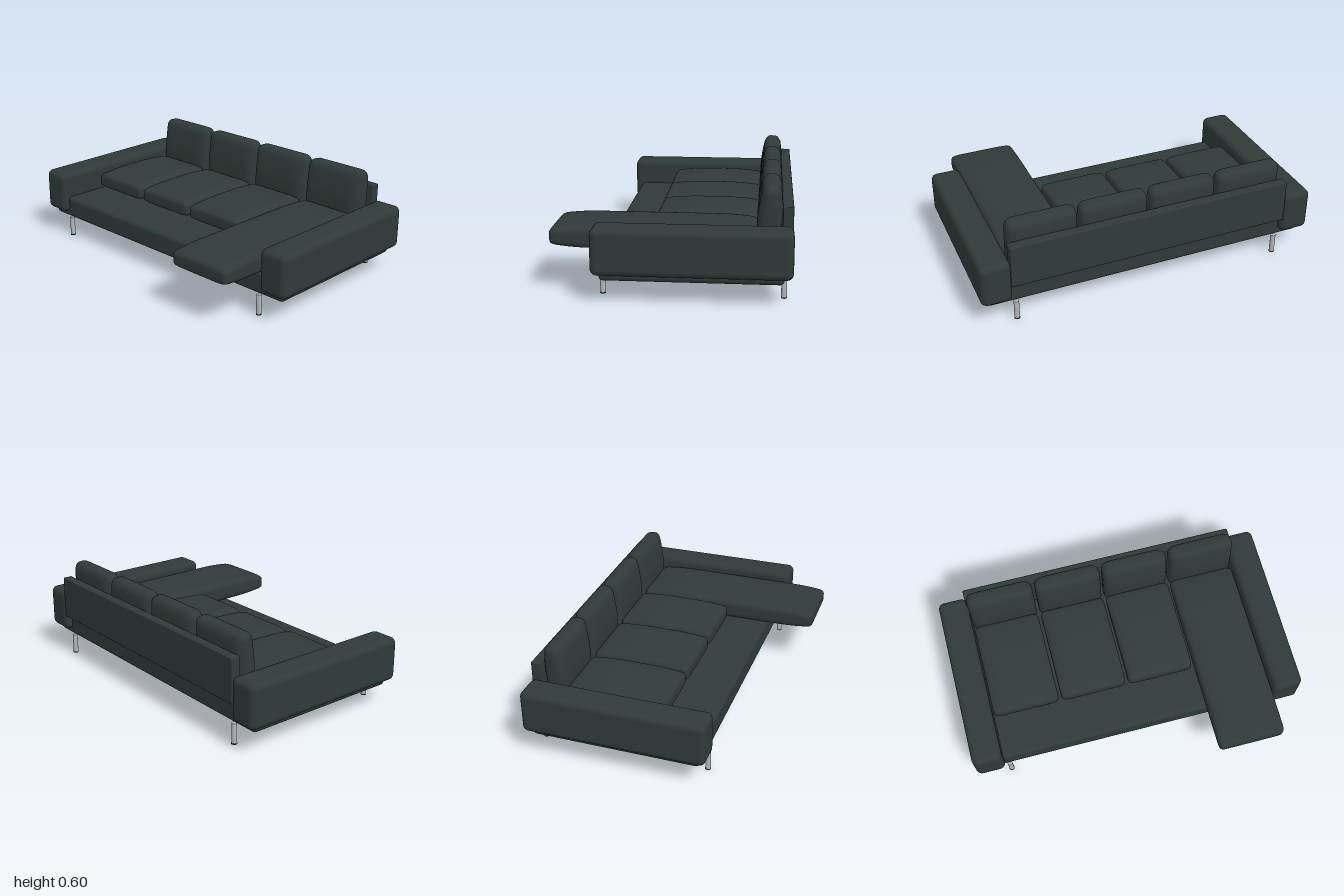
import * as THREE from 'three';
import { mergeVertices } from 'three/addons/utils/BufferGeometryUtils.js';
import { RoundedBoxGeometry } from 'three/addons/geometries/RoundedBoxGeometry.js';

const upholstery = new THREE.MeshStandardMaterial({ color: 0x2f3a38 });
upholstery.name = 'dark green upholstery';
const metal = new THREE.MeshStandardMaterial({ color: 0xb4b7bb });
metal.name = 'brushed metal';
const rubber = new THREE.MeshStandardMaterial({ color: 0x1c1e1f });
rubber.name = 'black rubber';

// Pillow: rounded slab, w by h by d, whose thickness (y) thins towards the rim
function pillowGeometry(w, h, d, r) {
  const geo = new THREE.BoxGeometry(2, 2, 2, 24, 12, 28);
  geo.deleteAttribute('uv');
  geo.deleteAttribute('normal');
  const half = new THREE.Vector3(w / 2, h / 2, d / 2);
  const p = new THREE.Vector3(), inner = new THREE.Vector3();
  const thin = (gap, reach, amount) => 1 - amount * (1 - Math.min(gap / reach, 1)) ** 2;
  const pos = geo.attributes.position;
  for (let i = 0; i < pos.count; i++) {
    p.fromBufferAttribute(pos, i);
    // crowd the grid towards the edges, then round them
    p.set(...p.toArray().map((t) => Math.sin(t * Math.PI / 2))).multiply(half);
    const lim = half.clone().subScalar(r);
    inner.copy(p).clamp(lim.clone().negate(), lim);
    p.sub(inner).setLength(r).add(inner);
    p.y *= thin(half.z - Math.abs(p.z), 0.22, 0.3) * thin(half.x - Math.abs(p.x), 0.08, 0.2);
    pos.setXYZ(i, p.x, p.y, p.z);
  }
  const merged = mergeVertices(geo, 1e-5);
  merged.computeVertexNormals();
  return merged;
}

export function createModel() {
  const sofa = new THREE.Group();
  sofa.name = 'sofa';

  function add(name, geometry, material, x, y, z) {
    const mesh = new THREE.Mesh(geometry, material);
    mesh.name = name;
    mesh.position.set(x, y, z);
    sofa.add(mesh);
    return mesh;
  }
  // Rounded block given by its limits on each axis
  function block(name, [x0, x1], [y0, y1], [z0, z1], r) {
    add(name, new RoundedBoxGeometry(x1 - x0, y1 - y0, z1 - z0, 5, r), upholstery,
      (x0 + x1) / 2, (y0 + y1) / 2, (z0 + z1) / 2);
  }

  // Frame
  block('base', [-0.96, 0.96], [0.115, 0.248], [-0.605, 0.36], 0.025);
  block('backPanel', [-0.83, 0.83], [0.245, 0.5], [-0.647, -0.59], 0.006);
  block('rightArm', [-1, -0.824], [0.15, 0.405], [-0.65, 0.4], 0.036);
  block('leftArm', [0.824, 1], [0.15, 0.405], [-0.65, 0.4], 0.036);

  // Cushions: three short seats and a long chaise on the model's left
  const seat = pillowGeometry(0.397, 0.125, 0.575, 0.03);
  const chaise = pillowGeometry(0.397, 0.13, 1.11, 0.03);
  const back = pillowGeometry(0.397, 0.135, 0.355, 0.045);
  for (let i = 0; i < 4; i++) {
    const x = -0.62 + 0.4133 * i;
    if (i < 3) add('seatCushion', seat, upholstery, x, 0.308, -0.175);
    else add('chaiseCushion', chaise, upholstery, x, 0.305, 0.093);
    add('backCushion', back, upholstery, x, 0.422, -0.523).rotation.x = Math.PI / 2 - 0.07;
  }

  // Legs with dark foot pads
  const leg = new THREE.CylinderGeometry(0.015, 0.015, 0.114, 24);
  const pad = new THREE.CylinderGeometry(0.016, 0.016, 0.006, 24);
  for (const x of [-0.8, 0.8]) {
    for (const z of [0.361, -0.605]) {
      add('leg', leg, metal, x, 0.063, z);
      add('footPad', pad, rubber, x, 0.003, z);
    }
  }
  return sofa;
}
